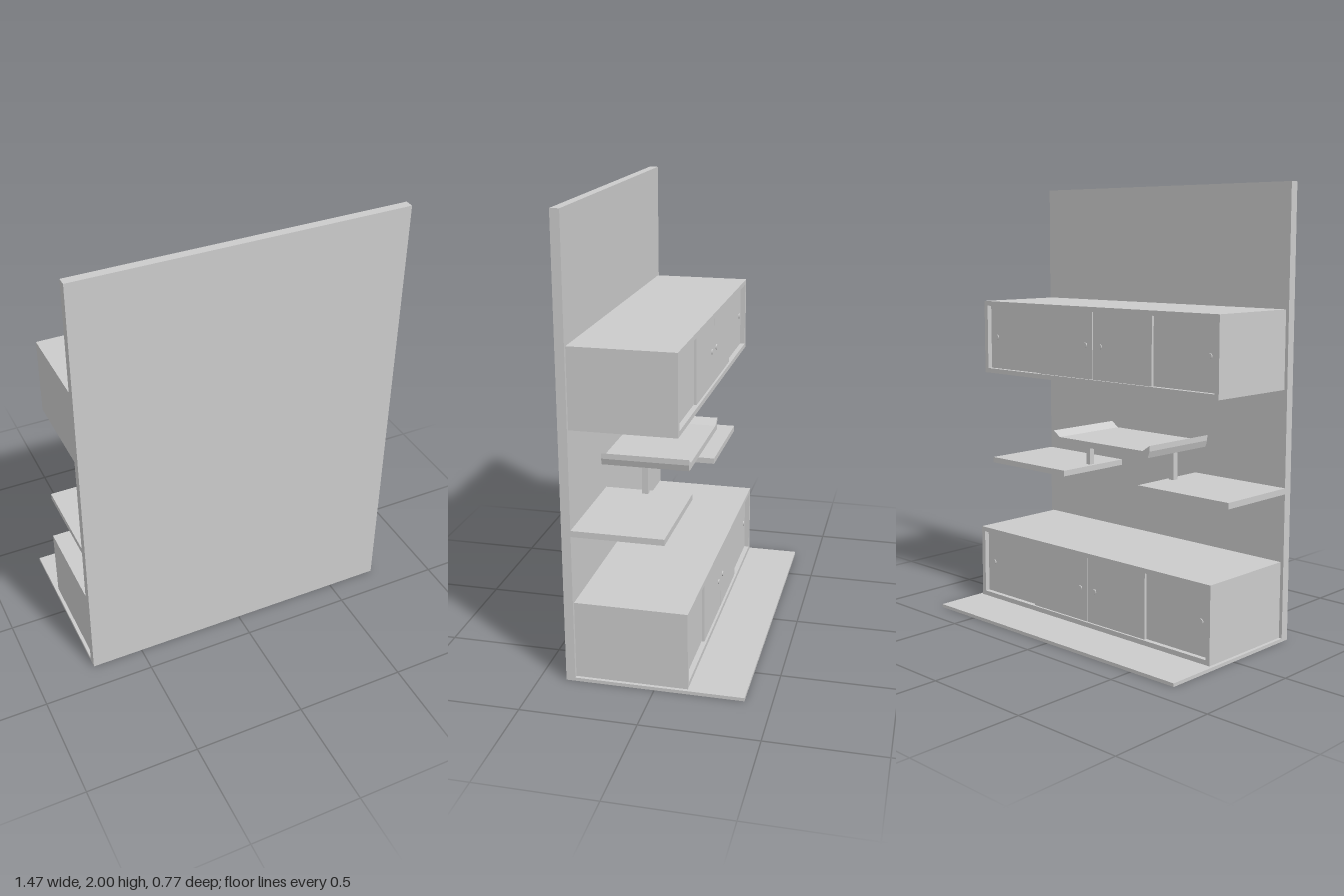
import * as THREE from 'three';

const material = new THREE.MeshStandardMaterial({ color: 0xcccccc, flatShading: true });

// Box given by its minimum and maximum corners
function slab(parent, name, [x0, y0, z0], [x1, y1, z1]) {
  const mesh = new THREE.Mesh(new THREE.BoxGeometry(x1 - x0, y1 - y0, z1 - z0), material);
  mesh.position.set((x0 + x1) / 2, (y0 + y1) / 2, (z0 + z1) / 2);
  mesh.name = name;
  parent.add(mesh);
  return mesh;
}

const WALL = 0.345; // face of the wall panel that carries everything
const HALF = 0.735;

// Long cabinet with four sliding doors facing -z
function cabinet(name, y0, y1, z0) {
  const g = new THREE.Group();
  g.name = name;
  const w = 0.72, t = 0.022;
  slab(g, 'cabinetTop', [-w, y1 - t, z0], [w, y1, WALL]);
  slab(g, 'cabinetBottom', [-w, y0, z0], [w, y0 + t, WALL]);
  for (const s of [-1, 1]) {
    const side = slab(g, 'cabinetSide', [w - t, y0 + t, z0], [w, y1 - t, WALL]);
    side.position.x *= s;

    // The inner doors run on the front track, the outer ones behind them
    for (const [doorName, a, b, recess, pullX] of [
      ['innerDoor', 0.002, 0.35, 0.01, 0.045],
      ['outerDoor', 0.33, w - t, 0.023, 0.655],
    ]) {
      const z = z0 + recess;
      const door = slab(g, doorName, [a, y0 + t, z], [b, y1 - t, z + 0.012]);
      door.position.x *= s;
      const pull = new THREE.Mesh(new THREE.CylinderGeometry(0.012, 0.012, 0.006, 16), material);
      pull.name = 'doorPull';
      pull.rotation.x = Math.PI / 2;
      pull.position.set(s * pullX, (y0 + y1) / 2, z - 0.002);
      g.add(pull);
    }
  }
  return g;
}

// Raised centre shelf with sloping lips at both ends
function centreShelf() {
  const half = [[0.29, 0.82], [0.3, 0.85], [0.3, 0.875], [0.26, 0.848]];
  const points = [...half, ...half.map(([x, y]) => [-x, y]).reverse()];
  const shape = new THREE.Shape(points.map(([x, y]) => new THREE.Vector2(x, y)));
  const geometry = new THREE.ExtrudeGeometry(shape, { depth: WALL + 0.05, bevelEnabled: false });
  const mesh = new THREE.Mesh(geometry, material);
  mesh.position.z = -0.05;
  mesh.name = 'centreShelf';
  return mesh;
}

export function createModel() {
  const model = new THREE.Group();
  model.name = 'wallUnit';

  slab(model, 'wallPanel', [-HALF, 0, WALL], [HALF, 2, 0.385]);
  slab(model, 'basePlate', [-HALF, 0, -0.385], [HALF, 0.015, WALL]);
  model.add(cabinet('lowerCabinet', 0.015, 0.36, -0.142));
  model.add(cabinet('upperCabinet', 1.12, 1.465, -0.105));
  model.add(centreShelf());

  // Side shelves and the posts between them and the centre shelf
  for (const s of [-1, 1]) {
    const shelf = slab(model, 'sideShelf', [0.232, 0.665, -0.05], [HALF, 0.692, WALL]);
    const post = slab(model, 'shelfPost', [0.25, 0.692, 0.14], [0.275, 0.83, 0.167]);
    shelf.position.x *= s;
    post.position.x *= s;
  }
  return model;
}
